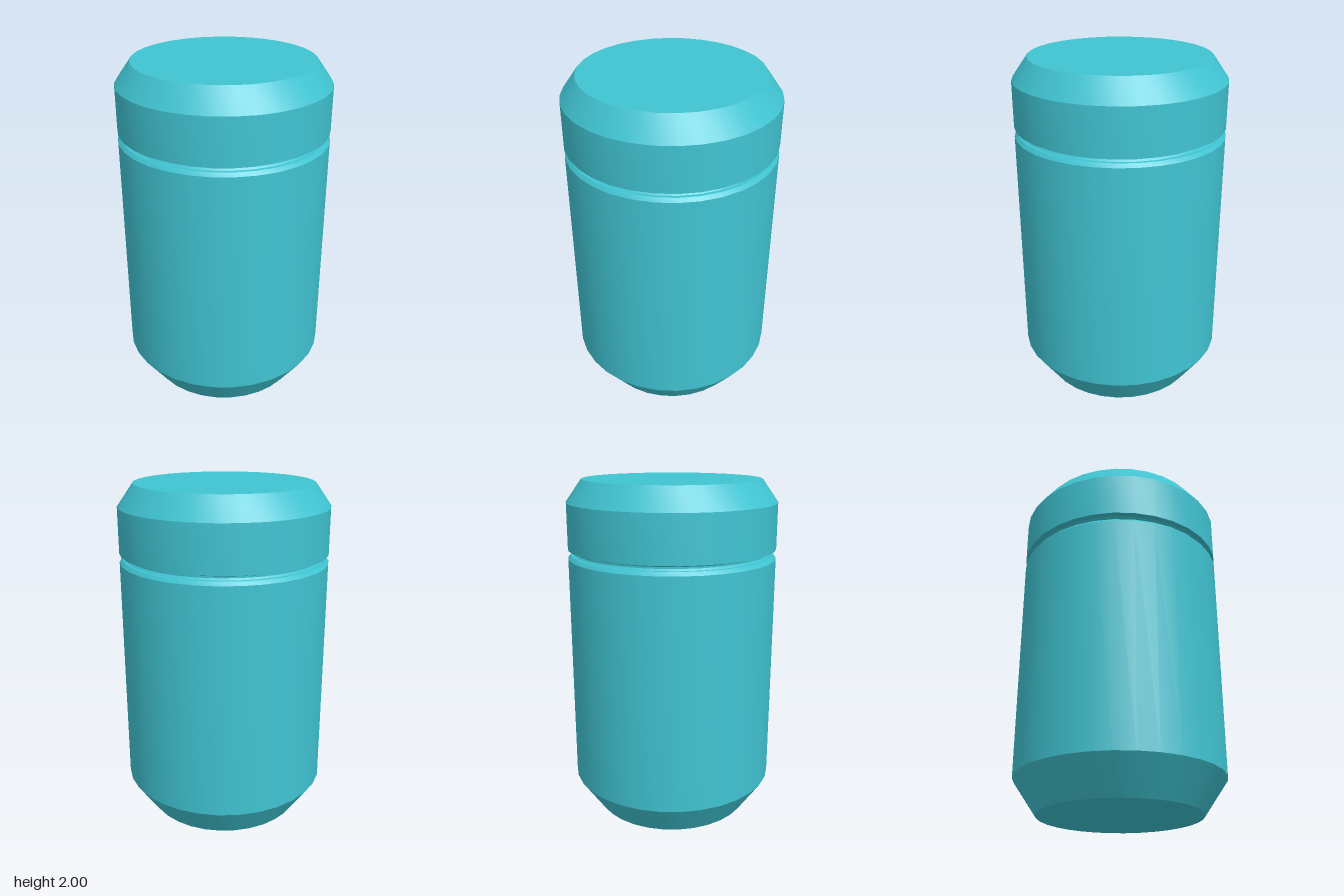
import * as THREE from 'three';
import { toCreasedNormals } from 'three/addons/utils/BufferGeometryUtils.js';

const SIDES = 32;
const R = 0.607;

export function createModel() {
  const group = new THREE.Group();
  group.name = 'jar';
  const material = new THREE.MeshStandardMaterial({ color: 0x40c4d2 });

  // Turned part from [radius, height] pairs, listed bottom to top
  function turned(name, profile) {
    const points = profile.map(([r, y]) => new THREE.Vector2(r, y));
    const geometry = toCreasedNormals(new THREE.LatheGeometry(points, SIDES), 0.45);
    const mesh = new THREE.Mesh(geometry, material);
    mesh.name = name;
    group.add(mesh);
  }

  // Body with tapered foot and a small bevel at the shoulder
  turned('body', [
    [0, 0], [0.47, 0], [R, 0.2], [R, 1.555], [0.59, 1.575], [0, 1.575],
  ]);

  // Recessed neck, flaring slightly at both ends
  turned('neck', [
    [0.575, 1.57], [0.562, 1.585], [0.562, 1.595], [0.575, 1.61],
  ]);

  // Lid with a chamfered rim
  turned('lid', [
    [0, 1.608], [R, 1.608], [R, 1.873], [0.517, 2], [0, 2],
  ]);

  return group;
}
